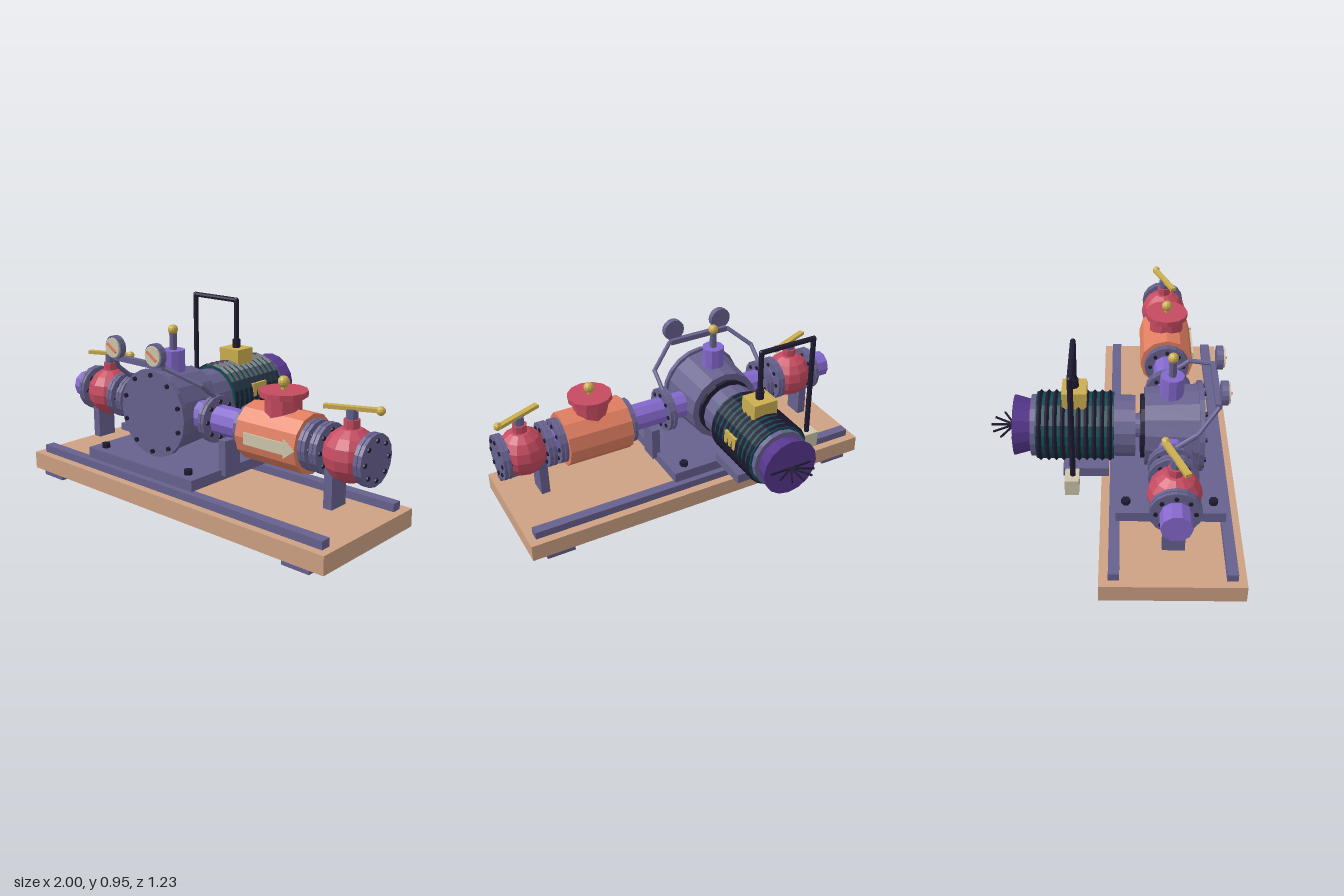
import * as THREE from 'three';

const material = (name, hex) => {
  const m = new THREE.MeshStandardMaterial({ color: hex });
  m.name = name;
  return m;
};

export function createModel() {
  const tan = material('tan', 0xcda183), slate = material('slate', 0x67618e);
  const lavender = material('lavender', 0x8468cc), red = material('red', 0xc54a60);
  const orange = material('orange', 0xe07e60), gold = material('gold', 0xcbae4f);
  const cream = material('cream', 0xcdc5aa), teal = material('teal', 0x0e4a52);
  const dark = material('dark', 0x1f1b33), purple = material('purple', 0x57378f);

  const root = new THREE.Group();
  root.name = 'pumpUnit';
  const AX = -0.24, AY = 0.44, PZ = 0.275; // pump axis x, shaft height, pipe line z

  // Faceted mesh helpers
  const add = (name, geo, mat, x = 0, y = 0, z = 0, parent = root) => {
    const g = geo.index ? geo.toNonIndexed() : geo;
    g.computeVertexNormals();
    const mesh = new THREE.Mesh(g, mat);
    mesh.name = name;
    mesh.position.set(x, y, z);
    parent.add(mesh);
    return mesh;
  };
  // Box from min/max corners
  const box = (name, mat, x0, x1, y0, y1, z0, z1) =>
    add(name, new THREE.BoxGeometry(x1 - x0, y1 - y0, z1 - z0), mat, (x0 + x1) / 2, (y0 + y1) / 2, (z0 + z1) / 2);
  // Cylinders from a to b along one axis; r0 at a, r1 at b
  const cylX = (name, mat, a, b, r, sides = 12, y = AY, z = PZ) =>
    add(name, new THREE.CylinderGeometry(r, r, b - a, sides).rotateZ(-Math.PI / 2), mat, (a + b) / 2, y, z);
  const cylY = (name, mat, a, b, r, x, z, sides = 12) =>
    add(name, new THREE.CylinderGeometry(r, r, b - a, sides), mat, x, (a + b) / 2, z);
  const cylZ = (name, mat, a, b, r0, r1 = r0, sides = 16, x = AX, y = AY) =>
    add(name, new THREE.CylinderGeometry(r1, r0, b - a, sides).rotateX(Math.PI / 2), mat, x, y, (a + b) / 2);
  const ball = (name, mat, r, x, y, z, w = 12, h = 8) => add(name, new THREE.SphereGeometry(r, w, h), mat, x, y, z);
  // Bent rod through points
  const rod = (name, mat, r, pts, sides = 8) => {
    const v = pts.map(p => new THREE.Vector3(...p));
    for (let i = 1; i < v.length; i++) {
      const d = v[i].clone().sub(v[i - 1]);
      const m = add(name, new THREE.CylinderGeometry(r, r, d.length(), sides), mat);
      m.position.copy(v[i]).add(v[i - 1]).multiplyScalar(0.5);
      m.quaternion.setFromUnitVectors(new THREE.Vector3(0, 1, 0), d.normalize());
      if (i < v.length - 1) ball(name + 'Elbow', mat, r * 1.05, ...pts[i], 8, 6);
    }
  };

  // Base slab, feet, rails and pedestal
  box('baseSlab', tan, -1, 0.975, 0.02, 0.11, -0.07, 0.61);
  for (const x of [-0.92, 0.75]) box('foot', slate, x, x + 0.15, 0, 0.02, -0.07, 0.61);
  for (const z of [0, 0.543]) box('rail', slate, -0.96, 0.935, 0.11, 0.15, z - 0.026, z + 0.026);
  box('pedestal', slate, -0.62, 0.138, 0.15, 0.205, 0.005, 0.538);
  for (const x of [-0.55, 0.06]) for (const z of [0.055, 0.48])
    cylY('pedestalBolt', dark, 0.2, 0.23, 0.022, x, z, 6);
  for (const x of [-0.81, 0.14, 0.78])
    box('pipeSupport', slate, x - 0.023, x + 0.023, 0.175, x === 0.14 ? 0.355 : 0.4, 0.222, 0.328);

  // Pump casing with bolted front cover
  cylZ('casing', slate, 0.145, 0.41, 0.195, 0.212);
  cylZ('casingCover', slate, 0.405, 0.43, 0.226, 0.226, 20);
  cylZ('backPlate', dark, 0.125, 0.148, 0.16);
  for (let i = 0; i < 10; i++) {
    const a = (i + 0.5) * Math.PI / 5;
    cylZ('coverBolt', dark, 0.425, 0.442, 0.012, 0.012, 6, AX + 0.198 * Math.cos(a), AY + 0.198 * Math.sin(a));
  }
  cylY('vent', lavender, 0.6, 0.743, 0.059, AX, PZ, 10);
  cylY('ventStem', slate, 0.74, 0.83, 0.019, AX, PZ, 8);
  ball('ventKnob', gold, 0.026, AX, 0.845, PZ);

  // Pipe line
  for (const [a, b] of [[-0.965, -0.84], [-0.64, 0.31], [0.65, 0.74]]) cylX('pipe', lavender, a, b, 0.073, 10);

  // Flange pairs, each with a ring of through bolts
  const flange = (x, r = 0.12) => {
    for (const s of [-1, 1]) cylX('flange', slate, x + s * 0.011 - 0.009, x + s * 0.011 + 0.009, r, 16);
    for (let i = 0; i < 8; i++) {
      const a = i * Math.PI / 4;
      cylX('flangeBolt', dark, x - 0.027, x + 0.027, 0.011, 6, AY + 0.09 * Math.sin(a), PZ + 0.09 * Math.cos(a));
    }
  };
  [-0.85, -0.62, -0.545, 0.06, 0.29, 0.675, 0.738, 0.973].forEach(x => flange(x));

  // Ball valves with lever handles
  for (const x of [-0.735, 0.86]) {
    ball('valveBody', red, 0.128, x, AY, PZ, 12, 8);
    cylY('valveCollar', red, 0.53, 0.6, 0.037, x, PZ, 8);
    cylY('valveStem', slate, 0.59, 0.645, 0.027, x, PZ, 8);
    const lever = add('valveLever', new THREE.BoxGeometry(0.25, 0.018, 0.03), gold, x, 0.648, PZ);
    lever.rotation.y = 0.4;
    ball('leverKnob', gold, 0.021, x + 0.118, 0.648, 0.232, 10, 6);
  }

  // Strainer body with capped neck and flow arrow
  cylX('strainerBody', orange, 0.305, 0.655, 0.143, 12);
  cylY('strainerNeck', red, 0.5, 0.64, 0.09, 0.48, PZ, 10);
  cylY('strainerCap', red, 0.635, 0.662, 0.115, 0.48, PZ);
  cylY('strainerKnobStem', gold, 0.66, 0.685, 0.012, 0.48, PZ, 8);
  ball('strainerKnob', gold, 0.028, 0.48, 0.7, PZ);
  const arrow = new THREE.Shape([[0.365, 0.412], [0.6, 0.412], [0.6, 0.395], [0.66, 0.44], [0.6, 0.485], [0.6, 0.468], [0.365, 0.468]]
    .map(p => new THREE.Vector2(...p)));
  add('flowArrow', new THREE.ExtrudeGeometry(arrow, { depth: 0.009, bevelEnabled: false }), cream, 0, 0, 0.416);

  // Twin gauges on a crossbar, fed by impulse tubes
  box('gaugeBar', slate, -0.44, -0.09, 0.695, 0.723, 0.468, 0.497);
  for (const s of [-1, 1]) {
    const x = -0.265 + s * 0.145, tx = s < 0 ? -0.545 : 0.06;
    cylZ('gaugeCase', slate, 0.49, 0.522, 0.059, 0.059, 16, x, 0.768);
    cylZ('gaugeFace', cream, 0.522, 0.531, 0.05, 0.05, 16, x, 0.768);
    const needle = add('gaugeNeedle', new THREE.BoxGeometry(0.075, 0.011, 0.008), orange, x, 0.768, 0.535);
    needle.rotation.z = -0.55;
    rod('gaugeTube', slate, 0.012, [[tx, 0.54, PZ], [tx, 0.625, 0.38], [x + s * 0.035, 0.709, 0.483]]);
  }

  // Motor: lantern, finned body, fan cover
  cylZ('coupling', slate, -0.01, 0.13, 0.06);
  cylZ('lantern', slate, -0.01, 0.1, 0.153);
  cylZ('motorBody', teal, -0.385, -0.005, 0.166, 0.166, 20);
  for (let i = 0; i < 10; i++)
    add('coolingFin', new THREE.TorusGeometry(0.165, 0.0125, 4, 20), dark, AX, AY, -0.025 - i * 0.038);
  cylZ('motorEndRing', slate, -0.412, -0.38, 0.154);
  cylZ('fanCover', purple, -0.497, -0.41, 0.152, 0.128);
  for (let i = 0; i < 6; i++) {
    const spoke = add('fanSpoke', new THREE.BoxGeometry(0.23, 0.008, 0.008), dark, AX, AY, -0.501);
    spoke.rotation.y = i * Math.PI / 6;
  }
  box('motorFoot', slate, AX - 0.15, AX + 0.15, 0.235, 0.285, -0.255, -0.03);
  box('ratingPlate', gold, AX + 0.155, AX + 0.171, 0.44, 0.511, -0.25, -0.145);

  // Terminal box, conduit and switch box
  box('terminalBox', gold, -0.308, -0.175, 0.585, 0.677, -0.257, -0.137);
  cylY('conduitGland', dark, 0.67, 0.722, 0.022, AX, -0.197, 8);
  rod('conduit', dark, 0.0135, [[AX, 0.7, -0.197], [AX, 0.935, -0.197], [-0.545, 0.935, -0.197], [-0.545, 0.36, -0.197]]);
  box('switchBox', cream, -0.592, -0.502, 0.292, 0.38, -0.235, -0.168);

  return root;
}
